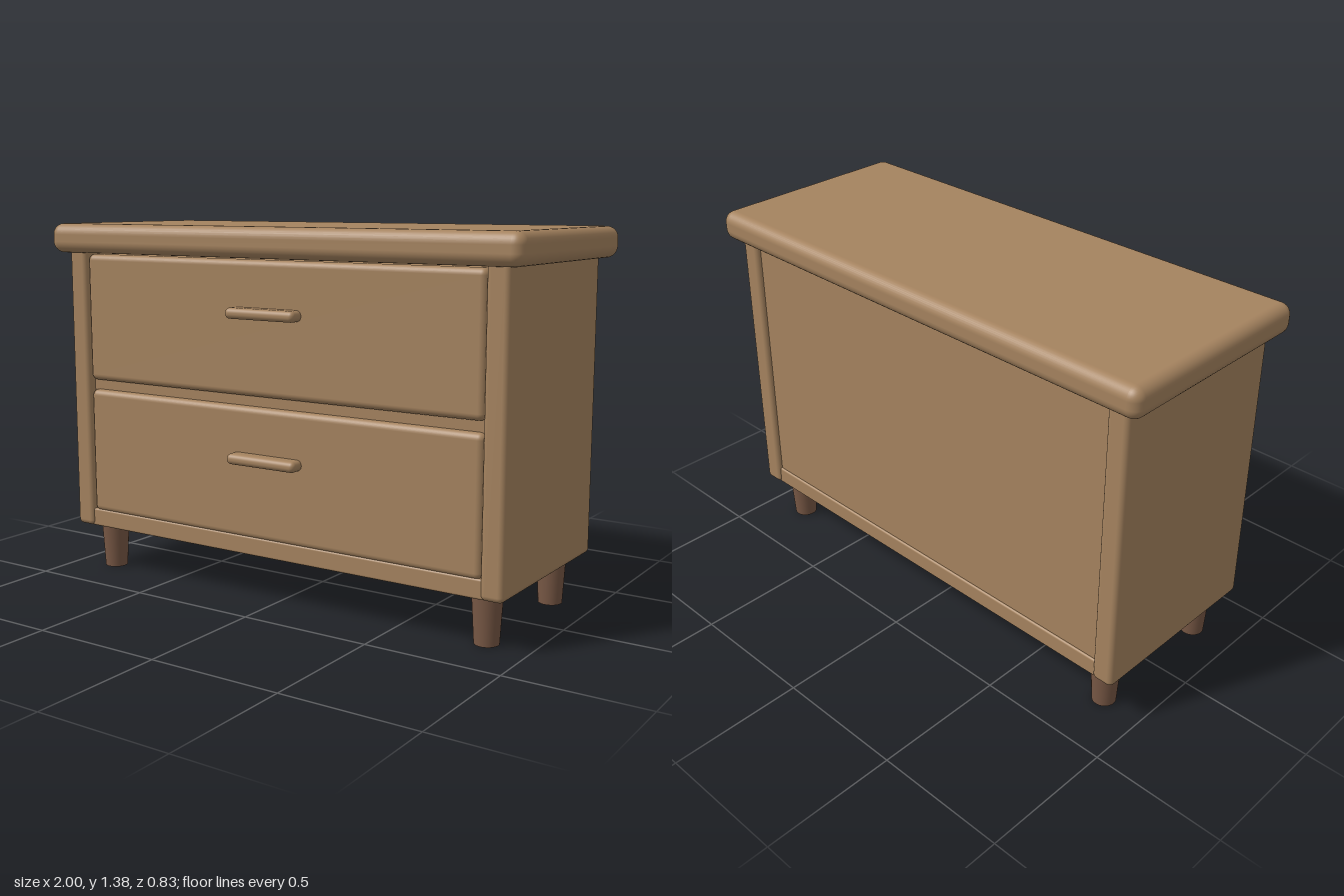
import * as THREE from 'three';
import { RoundedBoxGeometry } from 'three/addons/geometries/RoundedBoxGeometry.js';

export function createModel() {
  const model = new THREE.Group();
  model.name = 'drawerCabinet';
  const wood = new THREE.MeshStandardMaterial({ name: 'lightWood', color: 0xa5835f });
  const darkWood = new THREE.MeshStandardMaterial({ name: 'darkWood', color: 0x785845 });

  // Rounded board given by its minimum and maximum corners
  function board(name, min, max, radius) {
    const size = max.map((v, i) => v - min[i]);
    const mesh = new THREE.Mesh(new RoundedBoxGeometry(...size, 4, radius), wood);
    mesh.position.set(...max.map((v, i) => (v + min[i]) / 2));
    mesh.name = name;
    model.add(mesh);
  }

  // Top slab and carcass
  board('top', [-1, 1.265, -0.415], [1, 1.377, 0.415], 0.042);
  board('bottomPanel', [-0.87, 0.18, -0.36], [0.87, 0.25, 0.36], 0.008);
  board('backPanel', [-0.87, 0.235, -0.352], [0.87, 1.28, -0.31], 0.004);
  board('divider', [-0.87, 0.7, -0.33], [0.87, 0.8, 0.335], 0.004);
  for (const side of [-1, 1]) {
    const xs = [side * 0.855, side * 0.94].sort((a, b) => a - b);
    board(side > 0 ? 'leftSide' : 'rightSide', [xs[0], 0.18, -0.37], [xs[1], 1.29, 0.37], 0.02);
  }

  // Drawers with bar handles
  for (const [label, y] of [['lower', 0.242], ['upper', 0.77]]) {
    board(label + 'Drawer', [-0.855, y, -0.3], [0.855, y + 0.49, 0.362], 0.024);
    const handleY = y + 0.301;
    board(label + 'Handle', [-0.15, handleY - 0.02, 0.345], [0.15, handleY + 0.02, 0.415], 0.019);
  }

  // Tapered legs
  const legGeometry = new THREE.CylinderGeometry(0.055, 0.044, 0.19, 32);
  for (const x of [-0.835, 0.835]) {
    for (const z of [-0.263, 0.263]) {
      const leg = new THREE.Mesh(legGeometry, darkWood);
      leg.position.set(x, 0.095, z);
      leg.name = (z > 0 ? 'front' : 'back') + (x > 0 ? 'Left' : 'Right') + 'Leg';
      model.add(leg);
    }
  }
  return model;
}
